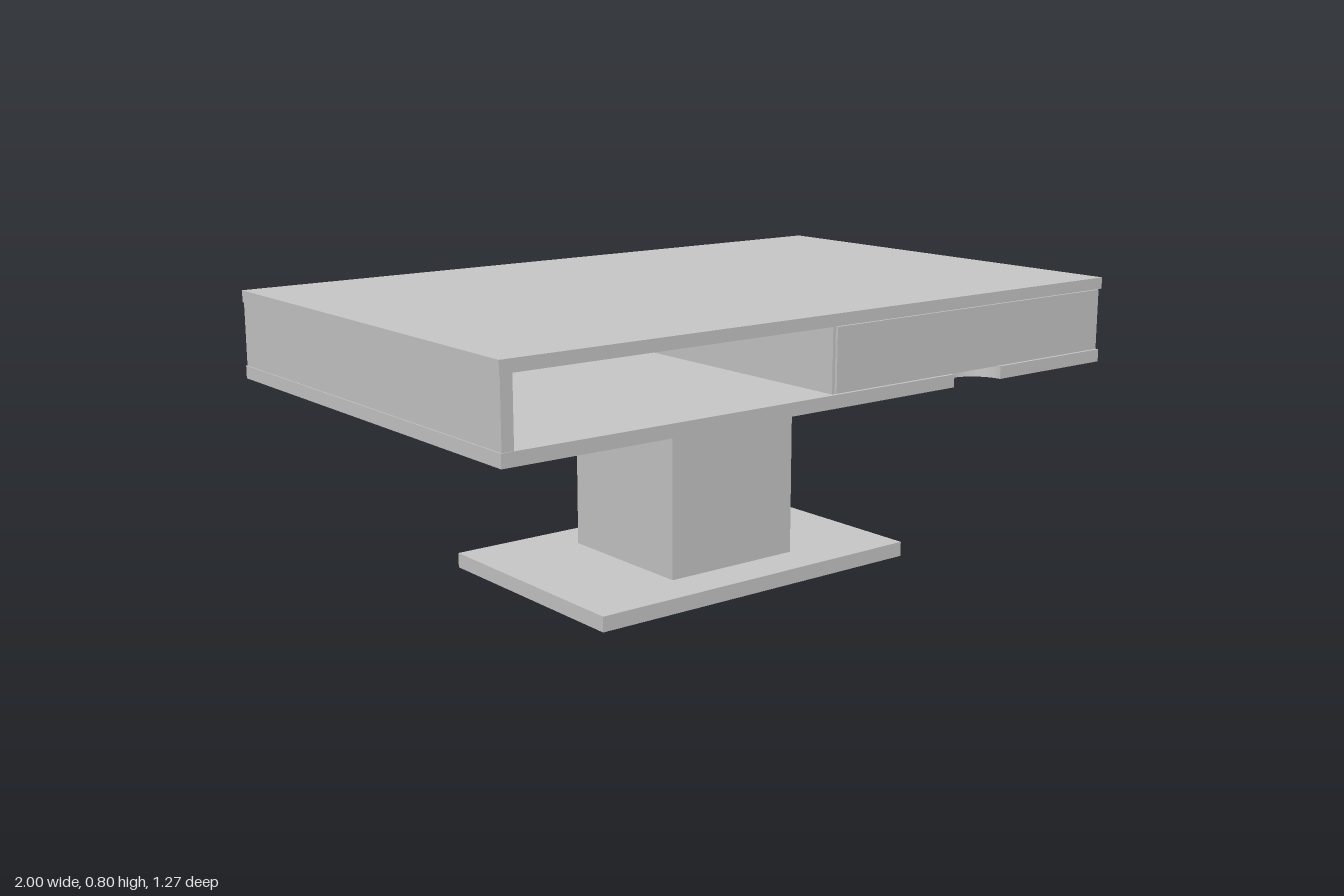
import * as THREE from 'three';

export function createModel() {
  const group = new THREE.Group();
  const grey = new THREE.MeshStandardMaterial({ color: 0xc8c8c8 });
  grey.name = 'plain grey';

  // Box given by its extents along each axis
  function slab(name, [x0, x1], [y0, y1], [z0, z1]) {
    const mesh = new THREE.Mesh(new THREE.BoxGeometry(x1 - x0, y1 - y0, z1 - z0), grey);
    mesh.position.set((x0 + x1) / 2, (y0 + y1) / 2, (z0 + z1) / 2);
    mesh.name = name;
    group.add(mesh);
  }

  const Z = 0.635;
  const caseY = [0.595, 0.768];

  // Pedestal
  slab('footPlate', [-0.52, 0.535], [0, 0.042], [-0.36, 0.335]);
  slab('column', [-0.2, 0.22], [0.042, 0.56], [-0.23, 0.21]);

  // Table top
  slab('tableTop', [-1, 1], [0.768, 0.8], [-Z, Z]);

  // Lower shelf with a round finger notch in its front edge
  const outline = new THREE.Shape();
  outline.moveTo(-1, Z);
  outline.lineTo(1, Z);
  outline.lineTo(1, -Z);
  outline.lineTo(0.59, -Z);
  outline.absarc(0.5, -Z, 0.09, 0, Math.PI, false);
  outline.lineTo(-1, -Z);
  outline.closePath();
  const shelfGeometry = new THREE.ExtrudeGeometry(outline, { depth: 0.035, bevelEnabled: false, curveSegments: 24 });
  shelfGeometry.rotateX(-Math.PI / 2);
  const shelf = new THREE.Mesh(shelfGeometry, grey);
  shelf.name = 'lowerShelf';
  shelf.position.y = 0.56;
  group.add(shelf);

  // Upright panels; the drawer front overlaps two of them
  slab('rightSide', [-0.997, -0.965], caseY, [-Z + 0.002, Z - 0.002]);
  slab('leftSide', [0.965, 0.997], caseY, [-Z + 0.002, 0.625]);
  slab('divider', [-0.02, 0.01], caseY, [-0.615, 0.625]);
  slab('backPanel', [-0.965, 0.965], caseY, [-0.625, -0.6]);

  // Drawer front beside the open compartment
  slab('drawerFront', [-0.012, 0.99], [0.597, 0.766], [0.6255, 0.633]);

  return group;
}
